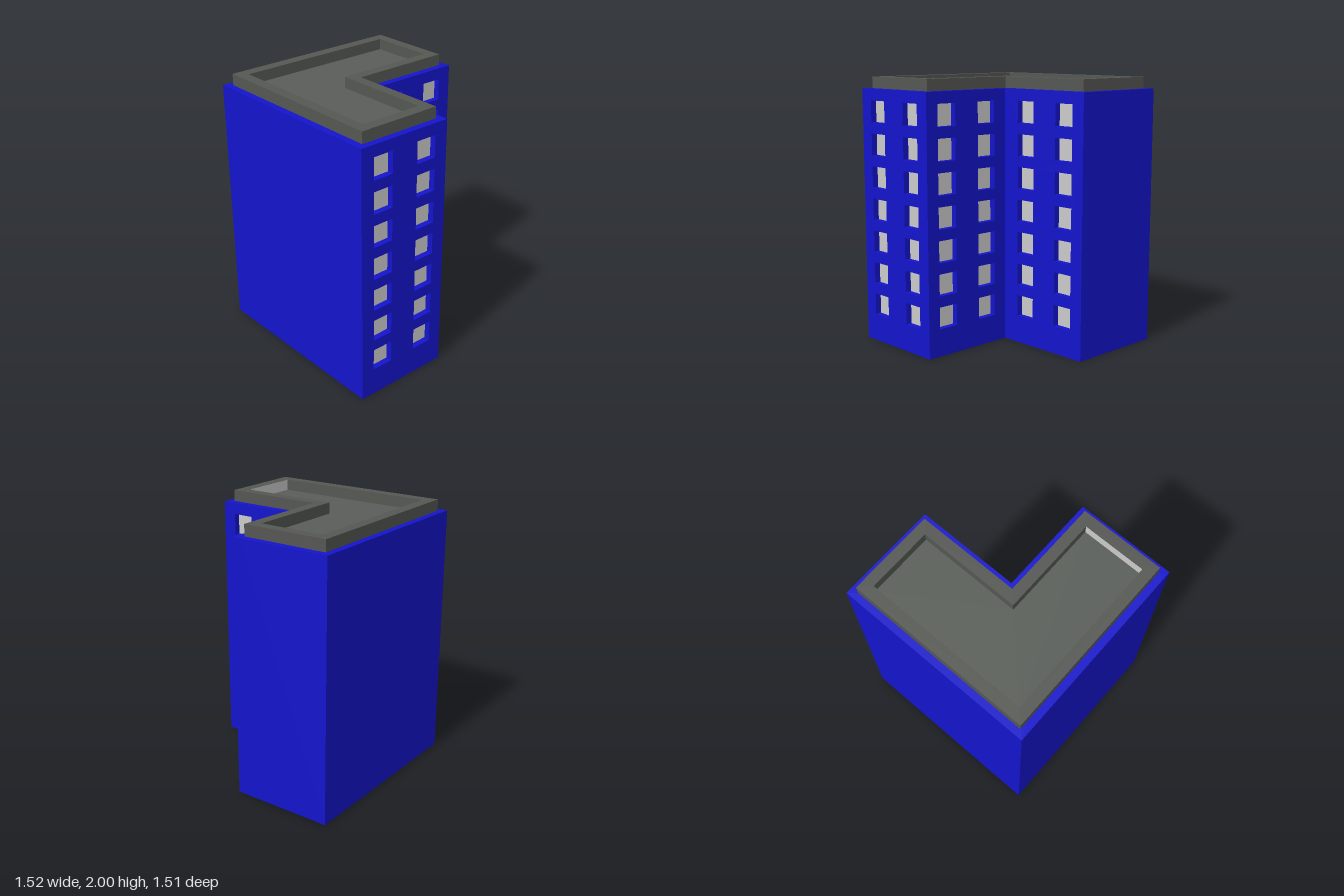
import * as THREE from 'three';

const H = 1.915;      // wall height
const TOP = 2;        // top of the parapet
const RECESS = 0.05;  // window depth
const WIN = 0.162;    // window size
const ROWS = 7;

const blue = new THREE.MeshStandardMaterial({ name: 'wallBlue', color: 0x1414cc });
const pale = new THREE.MeshStandardMaterial({ name: 'paneGrey', color: 0xcbcbcb });
const rim = new THREE.MeshStandardMaterial({ name: 'parapetGrey', color: 0x555753 });
const deck = new THREE.MeshStandardMaterial({ name: 'deckGrey', color: 0x595d58 });

// L-shaped outline, counter-clockwise: outer bounds plus the inner corner (nx, nz)
function outline(x0, x1, z0, z1, nx, nz) {
  return [[x0, z1], [nx, z1], [nx, nz], [x1, nz], [x1, z0], [x0, z0]]
    .map(([x, z]) => new THREE.Vector2(x, -z));
}

// Upright prism from an outline, with an optional hole
function prism(name, points, y0, y1, material, hole) {
  const shape = new THREE.Shape(points);
  if (hole) shape.holes.push(new THREE.Path(hole));
  const geo = new THREE.ExtrudeGeometry(shape, { depth: y1 - y0, bevelEnabled: false });
  geo.rotateX(-Math.PI / 2).translate(0, y0, 0);
  const mesh = new THREE.Mesh(geo, material);
  mesh.name = name;
  return mesh;
}

function rect(x0, y0, x1, y1) {
  return [[x0, y0], [x1, y0], [x1, y1], [x0, y1]].map(p => new THREE.Vector2(...p));
}

// Wall pierced by window openings, with a pane at the back of each
function windowWall(name, width, columns) {
  const group = new THREE.Group();
  group.name = name;
  const shape = new THREE.Shape(rect(0, 0, width, H));
  const paneGeo = new THREE.BoxGeometry(WIN, WIN, 0.004);
  for (const cx of columns) {
    for (let r = 0; r < ROWS; r++) {
      const cy = 0.287 + r * 0.2436;
      const h = WIN / 2;
      shape.holes.push(new THREE.Path(rect(cx - h, cy - h, cx + h, cy + h)));
      const pane = new THREE.Mesh(paneGeo, pale);
      pane.name = 'windowPane';
      pane.position.set(cx, cy, 0.002);
      group.add(pane);
    }
  }
  const wall = new THREE.Mesh(
    new THREE.ExtrudeGeometry(shape, { depth: RECESS, bevelEnabled: false }), blue);
  wall.name = 'wall';
  group.add(wall);
  return group;
}

export function createModel() {
  const model = new THREE.Group();
  model.name = 'apartmentBlock';
  const X = 0.762, Z = 0.757, NX = -0.016, NZ = 0.009;

  // Solid core behind the windowed walls
  model.add(prism('core',
    outline(-X, X, -Z, Z - RECESS, NX - RECESS, NZ - RECESS), 0, H, blue));

  // Front wing, its side, and the set-back wall
  const front = windowWall('frontWall', NX + X, [-0.578 + X, -0.201 + X]);
  front.position.set(-X, 0, Z - RECESS);

  const sideStart = Z - RECESS;
  const side = windowWall('sideWall', sideStart - NZ + RECESS,
    [sideStart - 0.576, sideStart - 0.2]);
  side.rotation.y = Math.PI / 2;
  side.position.set(NX - RECESS, 0, sideStart);

  const back = windowWall('setBackWall', X - NX, [0.201 - NX, 0.577 - NX]);
  back.position.set(NX, 0, NZ - RECESS);
  model.add(front, side, back);

  // Parapet ring and sunken roof deck
  const inner = outline(-0.626, 0.626, -0.622, 0.62, -0.15, -0.128);
  model.add(prism('parapet',
    outline(-0.708, 0.707, -0.706, 0.704, -0.07, -0.045), H, TOP, rim, inner));
  model.add(prism('roofDeck', inner, H, H + 0.003, deck));

  // Pale facing on the parapet's inner front end
  const facing = new THREE.Mesh(new THREE.PlaneGeometry(0.476, TOP - H - 0.003), pale);
  facing.name = 'parapetFacing';
  facing.rotation.y = Math.PI;
  facing.position.set(-0.388, (TOP + H + 0.003) / 2, 0.619);
  model.add(facing);

  return model;
}
